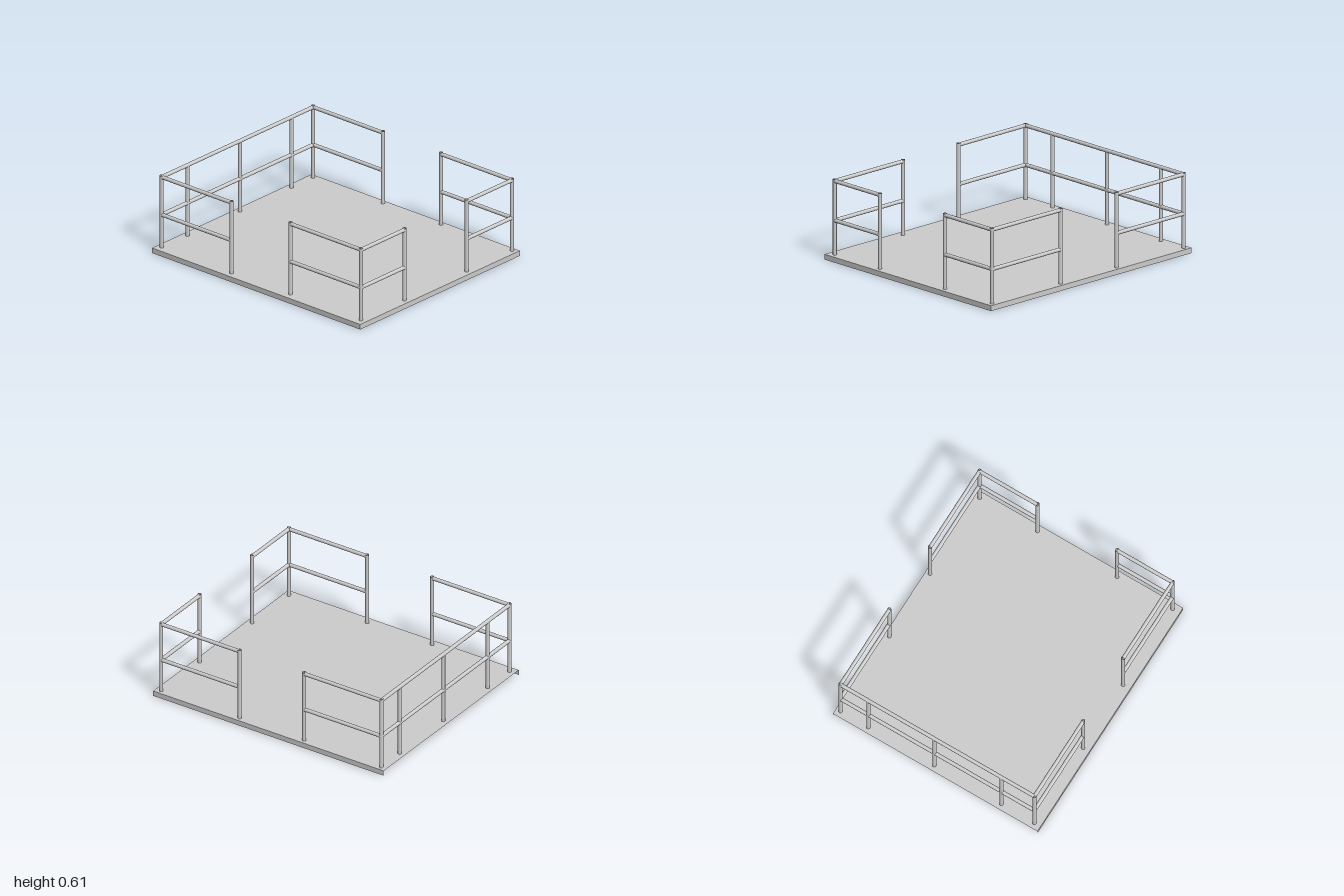
import * as THREE from 'three';

const W = 1, D = 0.86, H = 0.04;      // half width, half depth, deck height
const R = 0.0145;                     // tube radius
const TOP = 0.594, MID = 0.298;       // rail heights
const POST_TOP = 0.608, POST_BASE = 0.03;

export function createModel() {
  const model = new THREE.Group();
  model.name = 'railedPlatform';
  const mat = new THREE.MeshStandardMaterial({ color: 0xcccccc, side: THREE.DoubleSide });

  // Open tube between two points
  function tube(name, a, b, parent) {
    const from = new THREE.Vector3(...a), to = new THREE.Vector3(...b);
    const dir = to.clone().sub(from);
    const mesh = new THREE.Mesh(new THREE.CylinderGeometry(R, R, dir.length(), 16, 1, true), mat);
    mesh.name = name;
    mesh.position.copy(from).add(to).multiplyScalar(0.5);
    mesh.quaternion.setFromUnitVectors(new THREE.Vector3(0, 1, 0), dir.normalize());
    parent.add(mesh);
  }

  // Thin sheet, turned and placed
  function sheet(name, w, h, pos, rx, ry) {
    const mesh = new THREE.Mesh(new THREE.PlaneGeometry(w, h), mat);
    mesh.name = name;
    mesh.position.set(...pos);
    mesh.rotation.set(rx, ry, 0);
    model.add(mesh);
  }

  // Sheet deck with folded skirts on three sides; the right side is open beneath
  sheet('deck', 2 * W, 2 * D, [0, H, 0], -Math.PI / 2, 0);
  sheet('frontSkirt', 2 * W, H, [0, H / 2, D], 0, 0);
  sheet('backSkirt', 2 * W, H, [0, H / 2, -D], 0, Math.PI);
  sheet('leftSkirt', 2 * D, H, [W, H / 2, 0], 0, Math.PI / 2);

  // Railing run: top and middle rails through a list of [x, z] points
  function railing(name, points, extraPosts = []) {
    const group = new THREE.Group();
    group.name = name;
    for (let i = 1; i < points.length; i++) {
      const [x0, z0] = points[i - 1], [x1, z1] = points[i];
      tube('topRail', [x0, TOP, z0], [x1, TOP, z1], group);
      tube('middleRail', [x0, MID, z0], [x1, MID, z1], group);
    }
    for (const [x, z] of points) tube('post', [x, POST_BASE, z], [x, POST_TOP, z], group);
    for (const [x, z] of extraPosts) tube('middlePost', [x, POST_BASE, z], [x, TOP, z], group);
    model.add(group);
  }

  // Long U-shaped railing around the closed side
  const X = 0.955;
  railing('rightRailing',
    [[-0.285, 0.807], [-X, 0.807], [-X, -0.824], [-0.285, -0.824]],
    [0.53, -0.035, -0.59].map((z) => [-X, z]));

  // Two L-shaped corner railings with a gap between them
  railing('frontCornerRailing', [[0.275, 0.8], [X, 0.8], [X, 0.333]]);
  railing('backCornerRailing', [[0.275, -0.824], [X, -0.824], [X, -0.337]]);

  return model;
}
